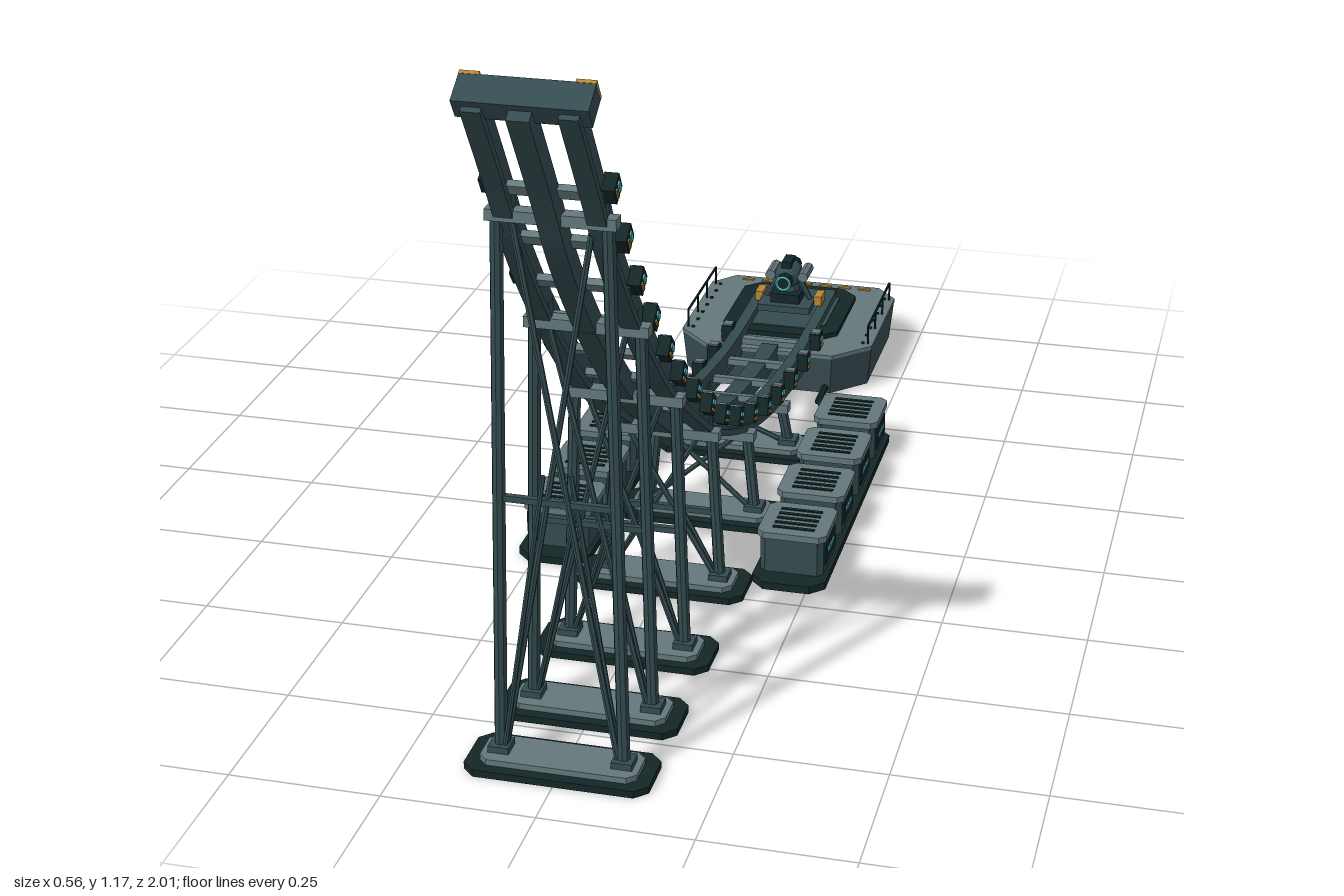
import * as THREE from 'three';

const mat = (name, color) => {
  const m = new THREE.MeshStandardMaterial({ color, flatShading: true });
  m.name = name;
  return m;
};

export function createModel() {
  const root = new THREE.Group();
  root.name = 'launchRamp';
  const M = {
    steel: mat('tealSteel', 0x344c50),
    dark: mat('darkTeal', 0x142626),
    light: mat('paleSteel', 0x64787c),
    hull: mat('hullGrey', 0x3a4c52),
    orange: mat('amber', 0xb98532),
    cyan: mat('cyanGlow', 0x55c4cc),
  };

  // ---- helpers ----
  const add = (parent, name, geo, m, x = 0, y = 0, z = 0) => {
    const mesh = new THREE.Mesh(geo, m);
    mesh.name = name;
    mesh.position.set(x, y, z);
    parent.add(mesh);
    return mesh;
  };
  const box = (parent, name, m, w, h, d, x, y, z) => add(parent, name, new THREE.BoxGeometry(w, h, d), m, x, y, z);
  const rod = (parent, name, m, a, b, r, sides = 6) => {
    const p = new THREE.Vector3(...a), q = new THREE.Vector3(...b);
    const mesh = add(parent, name, new THREE.CylinderGeometry(r, r, p.distanceTo(q), sides), m);
    mesh.position.copy(p).add(q).multiplyScalar(0.5);
    mesh.quaternion.setFromUnitVectors(new THREE.Vector3(0, 1, 0), q.sub(p).normalize());
    return mesh;
  };
  // Flat outline (x, -z) raised upwards by h
  const slab = (pts, h) => {
    const g = new THREE.ExtrudeGeometry(new THREE.Shape(pts.map(p => new THREE.Vector2(...p))), { depth: h, bevelEnabled: false });
    return g.rotateX(-Math.PI / 2);
  };
  const chamfered = (w, d, c, h) => {
    const a = w / 2, b = d / 2;
    return slab([[-a + c, -b], [a - c, -b], [a, -b + c], [a, b - c], [a - c, b], [-a + c, b], [-a, b - c], [-a, -b + c]], h);
  };

  // ---- track curve in the (z, y) plane ----
  const stations = [[-0.647, 0.112], [-0.524, 0.118], [-0.4, 0.133], [-0.283, 0.152], [-0.166, 0.18], [-0.05, 0.217],
    [0.064, 0.262], [0.176, 0.315], [0.278, 0.38], [0.38, 0.45], [0.476, 0.522], [0.56, 0.6], [0.647, 0.69],
    [0.727, 0.782], [0.8, 0.878], [0.862, 0.978]];
  const path = [[-0.9, 0.112], [-0.77, 0.111], ...stations, [0.973, 1.145]];
  const curve = new THREE.CatmullRomCurve3(path.map(([z, y]) => new THREE.Vector3(0, y, z)), false, 'centripetal');
  const samples = Array.from({ length: 101 }, (_, i) => ({ p: curve.getPoint(i / 100), t: curve.getTangent(i / 100) }));
  const at = z => samples.reduce((best, s) => (Math.abs(s.p.z - z) < Math.abs(best.p.z - z) ? s : best));
  const trackY = z => { const s = at(z); return s.p.y + (z - s.p.z) * s.t.y / s.t.z; };

  // Beam following the curve between two heights measured along its normal
  const beam = (name, m, x, w, lo, hi, zMin) => {
    const used = samples.filter(s => s.p.z >= zMin);
    const off = (s, o) => new THREE.Vector2(s.p.z - s.t.y * o, s.p.y + s.t.z * o);
    const shape = new THREE.Shape([...used.map(s => off(s, lo)), ...used.slice().reverse().map(s => off(s, hi))]);
    const g = new THREE.ExtrudeGeometry(shape, { depth: w, bevelEnabled: false });
    g.translate(0, 0, -w / 2).rotateY(-Math.PI / 2);
    add(root, name, g, m, x);
  };
  for (const s of [-1, 1]) {
    beam('guideRail', M.steel, s * 0.071, 0.022, -0.024, 0.008, -0.91);
    beam('railFlange', M.steel, s * 0.071, 0.03, -0.036, -0.024, -0.63);
  }
  beam('centreBeam', M.steel, 0, 0.034, -0.045, -0.01, -0.63);

  // ---- cross ties with coil blocks and lamps ----
  stations.forEach(([z, y]) => {
    const tie = new THREE.Group();
    tie.name = 'crossTie';
    const { t } = at(z);
    tie.position.set(0, y, z);
    tie.rotation.x = -Math.atan2(t.y, t.z);
    root.add(tie);
    box(tie, 'tieBar', M.light, 0.17, 0.012, 0.02, 0, -0.014, 0);
    for (const s of [-1, 1]) {
      box(tie, 'coilBlock', M.dark, 0.022, 0.034, 0.03, s * 0.091, 0, 0);
      box(tie, 'coilCap', M.light, 0.018, 0.004, 0.022, s * 0.091, 0.018, 0);
      box(tie, 'coilLamp', M.cyan, 0.003, 0.008, 0.018, s * 0.103, 0.004, 0);
      box(tie, 'coilMark', M.orange, 0.003, 0.005, 0.018, s * 0.103, -0.009, 0);
    }
  });

  // ---- header at the upper end ----
  const header = new THREE.Group();
  header.name = 'header';
  header.position.set(0, 1.14, 0.968);
  header.rotation.x = -Math.atan2(samples[100].t.y, samples[100].t.z);
  root.add(header);
  box(header, 'headerBar', M.steel, 0.2, 0.05, 0.036, 0, -0.003, 0);
  for (const s of [-1, 1]) box(header, 'headerCap', M.orange, 0.03, 0.006, 0.037, s * 0.085, 0.024, 0);

  // ---- trestles ----
  for (const z of [0.855, 0.68, 0.47, 0.22, -0.055, -0.35]) {
    const top = trackY(z) - 0.045;
    const g = new THREE.Group();
    g.name = 'trestle';
    g.position.z = z;
    root.add(g);
    add(g, 'footPad', chamfered(0.3, 0.115, 0.02, 0.012), M.dark);
    add(g, 'footPlate', chamfered(0.255, 0.078, 0.014, 0.01), M.light, 0, 0.012);
    box(g, 'capBeam', M.light, 0.2, 0.018, 0.026, 0, top, 0);
    for (const s of [-1, 1]) {
      rod(g, 'column', M.steel, [s * 0.1, 0.02, 0], [s * 0.085, top, 0], 0.0105, 8);
      box(g, 'columnShoe', M.steel, 0.034, 0.014, 0.036, s * 0.1, 0.026, 0);
      rod(g, 'brace', M.steel, [s * 0.092, 0.025, s * 0.004], [s * -0.06, top - 0.01, s * 0.004], 0.005);
      if (top > 0.25) rod(g, 'shortBrace', M.steel, [s * 0.092, 0.025, -s * 0.006], [s * 0.02, top * 0.55, -s * 0.006], 0.004);
      box(g, 'saddle', M.steel, 0.026, 0.035, 0.022, s * 0.071, top + 0.018, 0);
    }
    if (top > 0.25) box(g, 'midStrut', M.steel, 0.18, 0.01, 0.01, 0, top * 0.5, 0);
  }

  // ---- power pods along both sides ----
  for (const s of [-1, 1]) {
    add(root, 'podBase', chamfered(0.132, 0.675, 0.025, 0.014), M.dark, s * 0.215, 0, -0.132);
    for (const z of [-0.383, -0.221, -0.058, 0.106]) {
      const pod = new THREE.Group();
      pod.name = 'powerPod';
      pod.position.set(s * 0.215, 0.014, z);
      root.add(pod);
      add(pod, 'podBody', chamfered(0.114, 0.114, 0.01, 0.066), M.steel);
      add(pod, 'podLid', chamfered(0.124, 0.124, 0.012, 0.012), M.light, 0, 0.066);
      for (let i = -2; i <= 2; i++) box(pod, 'lidSlot', M.dark, 0.075, 0.003, 0.007, 0, 0.0785, i * 0.018);
      box(pod, 'sidePanel', M.dark, 0.004, 0.04, 0.086, s * 0.058, 0.036, 0);
      box(pod, 'sideLamp', M.cyan, 0.003, 0.006, 0.05, s * 0.0605, 0.038, 0);
    }
    // cable run from pods to platform
    rod(root, 'cableRun', M.dark, [s * 0.175, 0.016, -0.465], [s * 0.115, 0.016, -0.565], 0.007);
    rod(root, 'cableEnd', M.dark, [s * 0.115, 0.016, -0.56], [s * 0.115, 0.02, -0.65], 0.007);
  }

  // ---- loading platform ----
  const outline = k => [[-0.13, 0.62], [0.13, 0.62], [0.198, 0.69], [0.198, 0.95], [0.155, 1], [-0.155, 1], [-0.198, 0.95], [-0.198, 0.69]]
    .map(([x, y]) => [x * k, 0.81 + (y - 0.81) * k]);
  const hull = slab(outline(0.995), 0.078);
  const hp = hull.attributes.position;
  for (let i = 0; i < hp.count; i++) {
    if (hp.getY(i) < 0.01) hp.setXYZ(i, hp.getX(i) * 0.96, hp.getY(i), -0.81 + (hp.getZ(i) + 0.81) * 0.96);
  }
  hull.computeVertexNormals();
  add(root, 'platformHull', hull, M.hull, 0, 0.006);
  add(root, 'platformDeck', slab(outline(1), 0.008), M.light, 0, 0.084);
  add(root, 'turntable', chamfered(0.24, 0.265, 0.035, 0.01), M.dark, 0, 0.092, -0.822);
  add(root, 'turntableInset', chamfered(0.18, 0.2, 0.025, 0.004), M.steel, 0, 0.1, -0.822);
  for (let i = -3; i <= 3; i++) box(root, 'edgeDash', M.orange, 0.026, 0.003, 0.008, i * 0.042, 0.093, -0.982);
  for (const s of [-1, 1]) {
    for (let i = 0; i < 7; i++) box(root, 'deckBolt', M.dark, 0.006, 0.004, 0.006, s * 0.178, 0.093, -0.7 - i * 0.04);
    const posts = [-0.7, -0.78, -0.86, -0.94];
    posts.forEach(z => rod(root, 'railingPost', M.dark, [s * 0.188, 0.09, z], [s * 0.188, 0.13, z], 0.0022));
    rod(root, 'railingBar', M.dark, [s * 0.188, 0.13, -0.7], [s * 0.188, 0.13, -0.94], 0.0025);
  }

  // ---- sled carrying the payload ----
  const sled = new THREE.Group();
  sled.name = 'sled';
  sled.position.set(0, 0.12, -0.805);
  root.add(sled);
  box(sled, 'sledBed', M.steel, 0.11, 0.014, 0.11, 0, 0.008, 0);
  box(sled, 'sledBlock', M.dark, 0.06, 0.02, 0.075, 0, 0.024, 0);
  add(sled, 'neck', new THREE.CylinderGeometry(0.015, 0.024, 0.03, 8), M.steel, 0, 0.044, 0);
  const body = add(sled, 'payloadBody', new THREE.IcosahedronGeometry(0.033, 1), M.steel, 0, 0.068, 0);
  body.scale.set(0.9, 0.85, 1.25);
  rod(sled, 'payloadNose', M.dark, [0, 0.066, 0.03], [0, 0.066, 0.058], 0.016, 8);
  add(sled, 'noseRing', new THREE.TorusGeometry(0.014, 0.003, 4, 12), M.cyan, 0, 0.066, 0.058);
  rod(sled, 'payloadTail', M.dark, [0, 0.068, -0.035], [0, 0.068, -0.06], 0.015, 8);
  box(sled, 'payloadCrest', M.dark, 0.02, 0.014, 0.045, 0, 0.095, 0.005);
  for (const s of [-1, 1]) {
    box(sled, 'clampPlate', M.orange, 0.016, 0.02, 0.04, s * 0.062, 0.012, -0.015);
    rod(sled, 'cradleArm', M.steel, [s * 0.045, 0.014, 0], [s * 0.022, 0.06, 0], 0.006);
    rod(sled, 'sideThruster', M.light, [s * 0.034, 0.07, -0.035], [s * 0.034, 0.07, 0.025], 0.011, 8);
  }
  return root;
}
